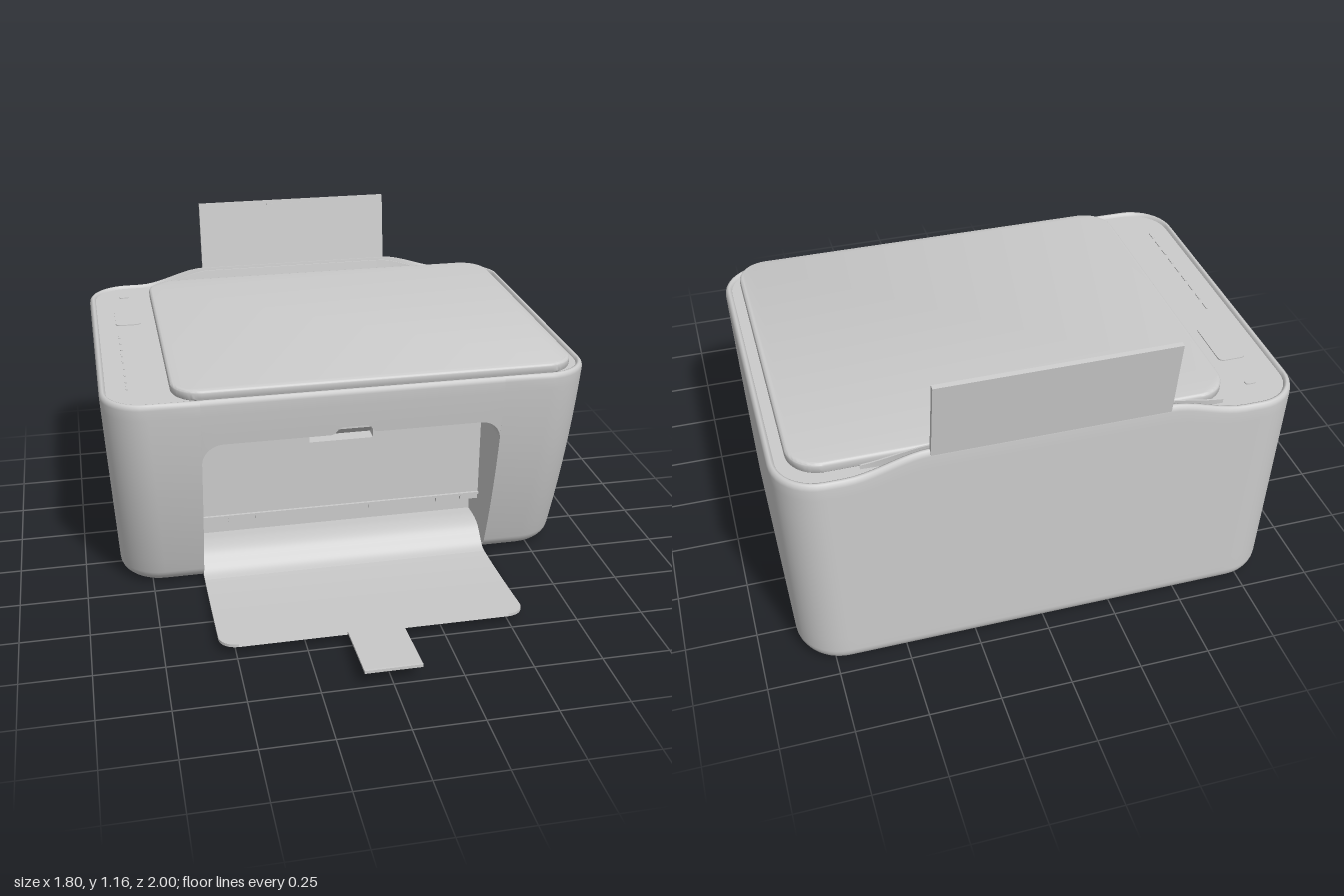
import * as THREE from 'three';
import { toCreasedNormals } from 'three/addons/utils/BufferGeometryUtils.js';

const grey = new THREE.MeshStandardMaterial({ color: 0xcccccc, side: THREE.DoubleSide });
const { smoothstep, lerp } = THREE.MathUtils;

const OPEN = 0.557;   // half width of the front opening
const DOOR_Z = 0.11;  // face of the recessed door
const TOP = 0.82;

// Surface from a rule f(i, j) -> [x, y, z]
function grid(nu, nv, f, crease) {
  const pos = [], idx = [];
  for (let j = 0; j <= nv; j++) for (let i = 0; i <= nu; i++) pos.push(...f(i, j));
  for (let j = 0; j < nv; j++) for (let i = 0; i < nu; i++) {
    const a = j * (nu + 1) + i, b = a + nu + 1;
    idx.push(a, a + 1, b, a + 1, b + 1, b);
  }
  const g = new THREE.BufferGeometry();
  g.setAttribute('position', new THREE.Float32BufferAttribute(pos, 3));
  g.setIndex(idx);
  g.computeVertexNormals();
  return crease ? toCreasedNormals(g, crease) : g;
}

function roundedRect(x0, y0, x1, y1, r) {
  const s = new THREE.Shape();
  s.absarc(x1 - r, y1 - r, r, 0, Math.PI / 2);
  s.absarc(x0 + r, y1 - r, r, Math.PI / 2, Math.PI);
  s.absarc(x0 + r, y0 + r, r, Math.PI, Math.PI * 1.5);
  s.absarc(x1 - r, y0 + r, r, Math.PI * 1.5, Math.PI * 2);
  return s;
}

// Body dimensions at height y, pulled in by an inset
function section(y, inset) {
  const t = y / TOP;
  return {
    w: 0.862 + 0.04 * t - inset,
    f: 0.2 + 0.28 * t - 0.108 * t * t - inset,
    b: -0.96 + inset,
    r: 0.16 - inset,
  };
}
const bottomInset = y => (y < 0.06 ? 0.06 - Math.sqrt(0.0036 - (0.06 - y) ** 2) : 0);
const frontZ = y => section(y, bottomInset(y)).f;

// Rings as [height, inset]: rounded foot, walls, rounded rim and inner lip
const rings = [];
for (let k = 0; k <= 8; k++) {
  const y = 0.06 * (1 - Math.cos(k / 8 * Math.PI / 2));
  rings.push([y, bottomInset(y)]);
}
for (const y of [0.12, 0.2, 0.28, 0.36, 0.44, 0.5, 0.56, 0.62, 0.68, 0.72, 0.76, 0.8]) rings.push([y, 0]);
rings.push([0.811, 0.003], [0.818, 0.009], [TOP, 0.015], [0.818, 0.021], [0.808, 0.025]);
const LAST = rings.length - 1;

// Raised back rim around the paper feed
const rise = x => 1 - smoothstep(Math.abs(x), 0.4, 0.68);

// Outline from the left edge of the opening around the back to its right edge
function outline(ring) {
  const [y, inset] = rings[ring], { w, f, b, r } = section(y, inset), half = [];
  half.push([OPEN, f]);
  for (let k = 0; k <= 10; k++) {
    const a = Math.PI / 2 * (1 - k / 10);
    half.push([w - r + r * Math.cos(a), f - r + r * Math.sin(a)]);
  }
  for (let k = 0; k <= 10; k++) {
    const a = -Math.PI / 2 * k / 10;
    half.push([w - r + r * Math.cos(a), b + r + r * Math.sin(a)]);
  }
  for (let k = 1; k <= 24; k++) half.push([(w - r) * (1 - k / 24), b]);
  const mirrored = half.slice(0, -1).reverse().map(([x, z]) => [-x, z]);
  return half.concat(mirrored).map(([x, z]) => {
    const lift = z < -0.85 && ring < LAST ? 0.06 * rise(x) * smoothstep(y, 0.62, 0.8) : 0;
    return [x, y + lift, z];
  });
}

// Upper edge of the front opening, with rounded corners and a finger notch
function arch(x) {
  const a = Math.abs(x), r = 0.08;
  if (a > OPEN - r) return 0.64 - r + Math.sqrt(Math.max(0, r * r - (a - OPEN + r) ** 2));
  return 0.64 + 0.03 * (1 - smoothstep(a, 0.05, 0.08));
}

// Closed thin slab lofted along z from [z, y, halfWidth]
function slab(path, t) {
  const g = grid(4, path.length - 1, (i, j) => {
    const [z, y, w] = path[j];
    return [i === 1 || i === 2 ? w : -w, i === 2 || i === 3 ? y + t : y, z];
  }, 0.6);
  return g;
}

export function createModel() {
  const model = new THREE.Group();
  const add = (name, geometry, x = 0, y = 0, z = 0, parent = model) => {
    const m = new THREE.Mesh(geometry, grey);
    m.name = name;
    m.position.set(x, y, z);
    parent.add(m);
    return m;
  };
  const box = (name, w, h, d, x, y, z) => add(name, new THREE.BoxGeometry(w, h, d), x, y, z);

  // Body shell, front panel over the opening, and flat caps
  const loops = rings.map((_, k) => outline(k));
  add('bodyShell', grid(loops[0].length - 1, LAST, (i, j) => loops[j][i]));
  const upper = rings.filter(([y]) => y > 0.67);
  const COLS = 120;
  const colX = i => -OPEN * Math.cos(i / COLS * Math.PI);
  add('frontPanel', grid(COLS, upper.length, (i, j) => {
    const x = colX(i);
    if (j === 0) return [x, arch(x), frontZ(arch(x))];
    const [y, inset] = upper[j - 1];
    return [x, y, section(y, inset).f];
  }));
  for (const [name, k] of [['topDeck', LAST], ['bottomPlate', 0]]) {
    const s = new THREE.Shape(loops[k].map(([x, , z]) => new THREE.Vector2(x, -z)));
    const g = new THREE.ShapeGeometry(s);
    g.rotateX(k ? -Math.PI / 2 : Math.PI / 2);
    if (!k) g.scale(1, 1, -1).computeVertexNormals();
    add(name, g, 0, rings[k][0], 0);
  }

  // Lining of the front opening
  add('openingCeiling', grid(COLS, 1, (i, j) => {
    const x = colX(i), y = arch(x);
    return [x, y, j ? DOOR_Z - 0.02 : frontZ(y)];
  }));
  for (const side of [-1, 1]) {
    add('openingSide', grid(1, 16, (i, j) => {
      const y = 0.56 * (j / 16) ** 1.5;
      return [side * OPEN, y, i ? -0.01 : frontZ(y)];
    }));
  }
  add('cavityBack', new THREE.PlaneGeometry(2 * OPEN, 0.68), 0, 0.34, 0);

  // Recessed door with a grip pocket and its lower row of tabs
  const door = new THREE.Shape([[-OPEN, 0.215], [OPEN, 0.215], [OPEN, 0.56], [0.5, 0.635],
    [0.08, 0.64], [0.08, 0.67], [-0.08, 0.67], [-0.08, 0.64], [-0.5, 0.635], [-OPEN, 0.56]]
    .map(p => new THREE.Vector2(...p)));
  door.holes.push(new THREE.Path([[-0.125, 0.5], [-0.125, 0.545], [0.125, 0.545], [0.125, 0.5]]
    .map(p => new THREE.Vector2(...p))));
  add('door', new THREE.ExtrudeGeometry(door, { depth: DOOR_Z, bevelEnabled: false }));
  add('doorGrip', grid(1, 1, (i, j) => [i ? 0.125 : -0.125, j ? 0.545 : 0.5, j ? DOOR_Z : DOOR_Z - 0.06]));
  box('doorLip', 2 * OPEN, 0.01, 0.02, 0, 0.217, DOOR_Z);
  for (const side of [-1, 1]) {
    for (const [x, w] of [[0.225, 0.23], [0.415, 0.06], [0.52, 0.07]]) {
      box('doorTab', w, 0.024, 0.014, side * x, 0.203, DOOR_Z - 0.005);
    }
  }

  // Rounded ramp leading out to the output tray
  const ramp = new THREE.CatmullRomCurve3([[0, 0.088], [0.07, 0.09], [0.125, 0.08], [0.165, 0.05], [0.2, 0.022], [0.24, 0.014]]
    .map(([z, y]) => new THREE.Vector3(0, y, z))).getPoints(24);
  add('outputRamp', grid(1, 24, (i, j) => [i ? -OPEN : OPEN, ramp[j].y, ramp[j].z]));

  // Output tray with rounded outer corners, curving gently upward
  const trayY = z => 0.004 + 0.05 * smoothstep(z, 0.2, 1.25) * 1.2;
  const trayPath = [];
  for (let k = 0; k <= 10; k++) {
    const z = lerp(0.17, 0.665, k / 10);
    trayPath.push([z, trayY(z), OPEN]);
  }
  for (let k = 1; k <= 8; k++) {
    const a = k / 8 * Math.PI / 2, z = 0.665 + 0.065 * Math.sin(a);
    trayPath.push([z, trayY(z), OPEN - 0.065 * (1 - Math.cos(a))]);
  }
  add('outputTray', slab(trayPath, 0.011));
  const extension = [];
  for (let k = 0; k <= 8; k++) {
    const z = lerp(0.7, 1, k / 8);
    extension.push([z, trayY(z) + 0.001, 0.102]);
  }
  add('trayExtension', slab(extension, 0.009));
  box('trayExtensionEnd', 0.204, 0.011, 0.008, 0, trayY(1) + 0.0055, 0.996);

  // Scanner lid
  const lid = new THREE.ExtrudeGeometry(roundedRect(-0.64, -0.335, 0.83, 0.88, 0.1),
    { depth: 0.018, bevelSize: 0.011, bevelThickness: 0.011, bevelSegments: 4, curveSegments: 10 });
  lid.rotateX(-Math.PI / 2);
  add('scannerLid', toCreasedNormals(lid, 0.6), 0, 0.821, 0);

  // Control strip: display, row of marks and button
  const plate = (name, x, z, w, d, r) => {
    const g = new THREE.ExtrudeGeometry(roundedRect(-w / 2, -d / 2, w / 2, d / 2, r), { depth: 0.006, bevelEnabled: false });
    add(name, g.rotateX(-Math.PI / 2), x, 0.806, z);
  };
  plate('display', -0.757, -0.58, 0.1, 0.21, 0.02);
  plate('powerButton', -0.757, -0.82, 0.04, 0.025, 0.01);
  for (let k = 0; k < 9; k++) plate('controlMark', -0.8, -0.35 + k * 0.065, 0.008, 0.04, 0.003);

  // Curved guard in front of the paper feed
  add('feedGuard', grid(40, 3, (i, j) => {
    const x = lerp(-0.62, 0.62, i / 40), up = j === 1 || j === 2;
    const lift = 1 - smoothstep(Math.abs(x), 0.38, 0.64);
    const z = -0.893 - 0.012 * lift - (up ? 0.01 * lift : 0) - (j > 1 ? 0.006 : 0);
    return [x, up ? 0.822 + 0.052 * lift : 0.806, z];
  }, 0.6));

  // Upright paper support with a small grip
  const support = new THREE.Group();
  support.name = 'paperSupport';
  support.position.set(0, 0.983, -0.966);
  support.rotation.x = -0.13;
  add('supportPanel', new THREE.BoxGeometry(0.81, 0.345, 0.018), 0, 0, 0, support);
  add('supportGrip', new THREE.BoxGeometry(0.22, 0.016, 0.004), 0, 0.152, 0.01, support);
  model.add(support);

  return model;
}
